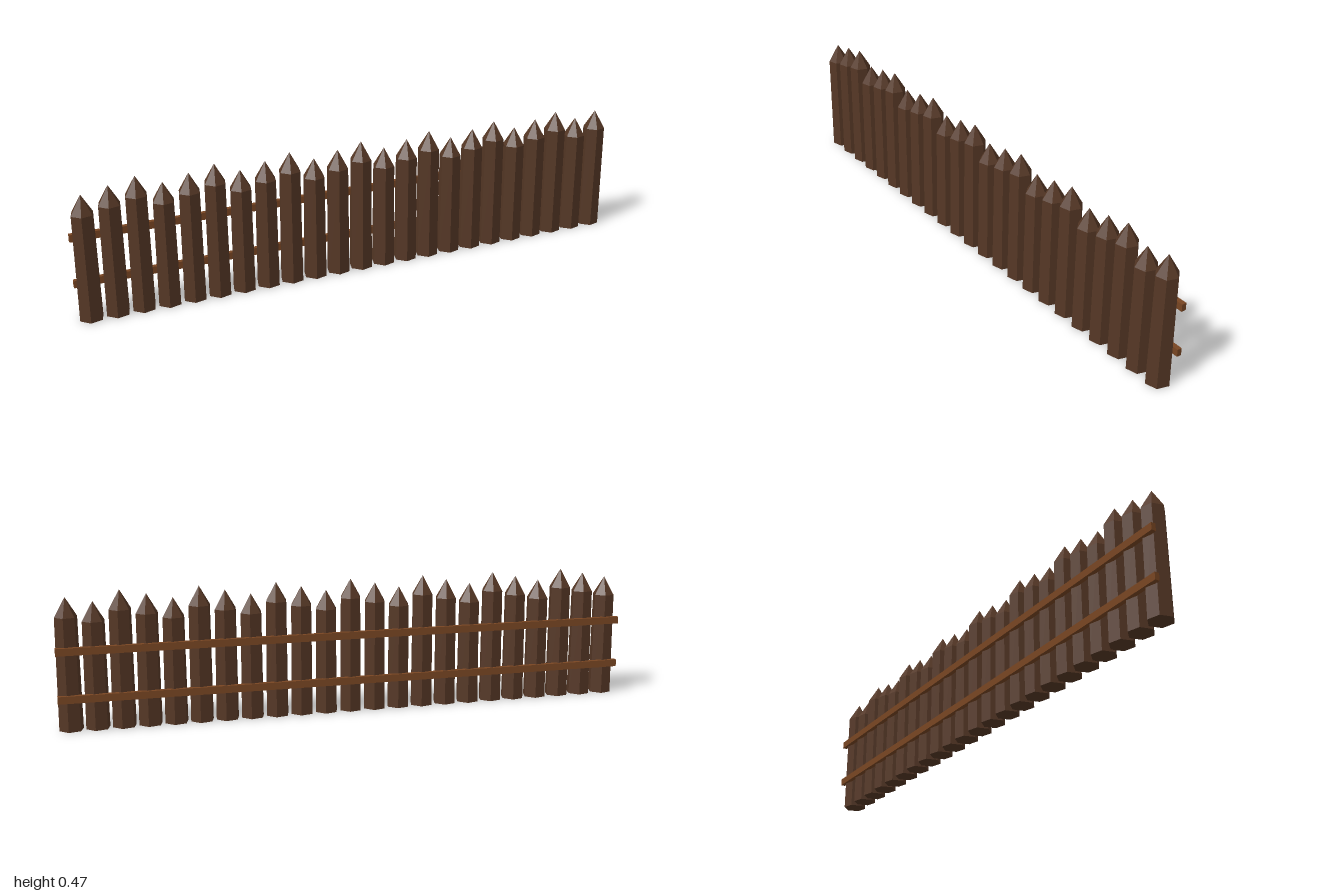
import * as THREE from 'three';

const COUNT = 23, SPACING = 0.0872, POST_Z = 0.003;
const TIP = 0.065, R_BASE = 0.0415, R_TOP = 0.0385;
const HEIGHTS = [0.43, 0.4475, 0.465]; // repeating post heights

export function createModel() {
  const group = new THREE.Group();
  group.name = 'palisadeFence';
  const bark = new THREE.MeshStandardMaterial({ name: 'darkWood', color: 0x553725, flatShading: true });
  const plank = new THREE.MeshStandardMaterial({ name: 'railWood', color: 0x784522, flatShading: true });

  // Six-sided tapered stakes, each with a pointed top
  const turn = -Math.PI / 12;
  const tipGeometry = new THREE.ConeGeometry(R_TOP, TIP, 6, 1, true, turn);
  const shaftGeometries = HEIGHTS.map((h) => {
    const shaft = new THREE.CylinderGeometry(R_TOP, R_BASE, h - TIP, 6, 1, false, turn);
    return shaft.translate(0, (h - TIP) / 2, 0);
  });
  for (let i = 0; i < COUNT; i++) {
    const stake = new THREE.Group();
    stake.name = `stake${i + 1}`;
    const shaft = new THREE.Mesh(shaftGeometries[i % 3], bark);
    shaft.name = 'shaft';
    const tip = new THREE.Mesh(tipGeometry, bark);
    tip.name = 'tip';
    tip.position.y = HEIGHTS[i % 3] - TIP / 2;
    stake.add(shaft, tip);
    stake.position.set((i - (COUNT - 1) / 2) * SPACING, 0, POST_Z);
    group.add(stake);
  }

  // Two rails along the back
  const railGeometry = new THREE.BoxGeometry(2, 0.025, 0.016);
  [['lowerRail', 0.113], ['upperRail', 0.274]].forEach(([name, y]) => {
    const rail = new THREE.Mesh(railGeometry, plank);
    rail.name = name;
    rail.position.set(0, y, -0.035);
    group.add(rail);
  });
  return group;
}
